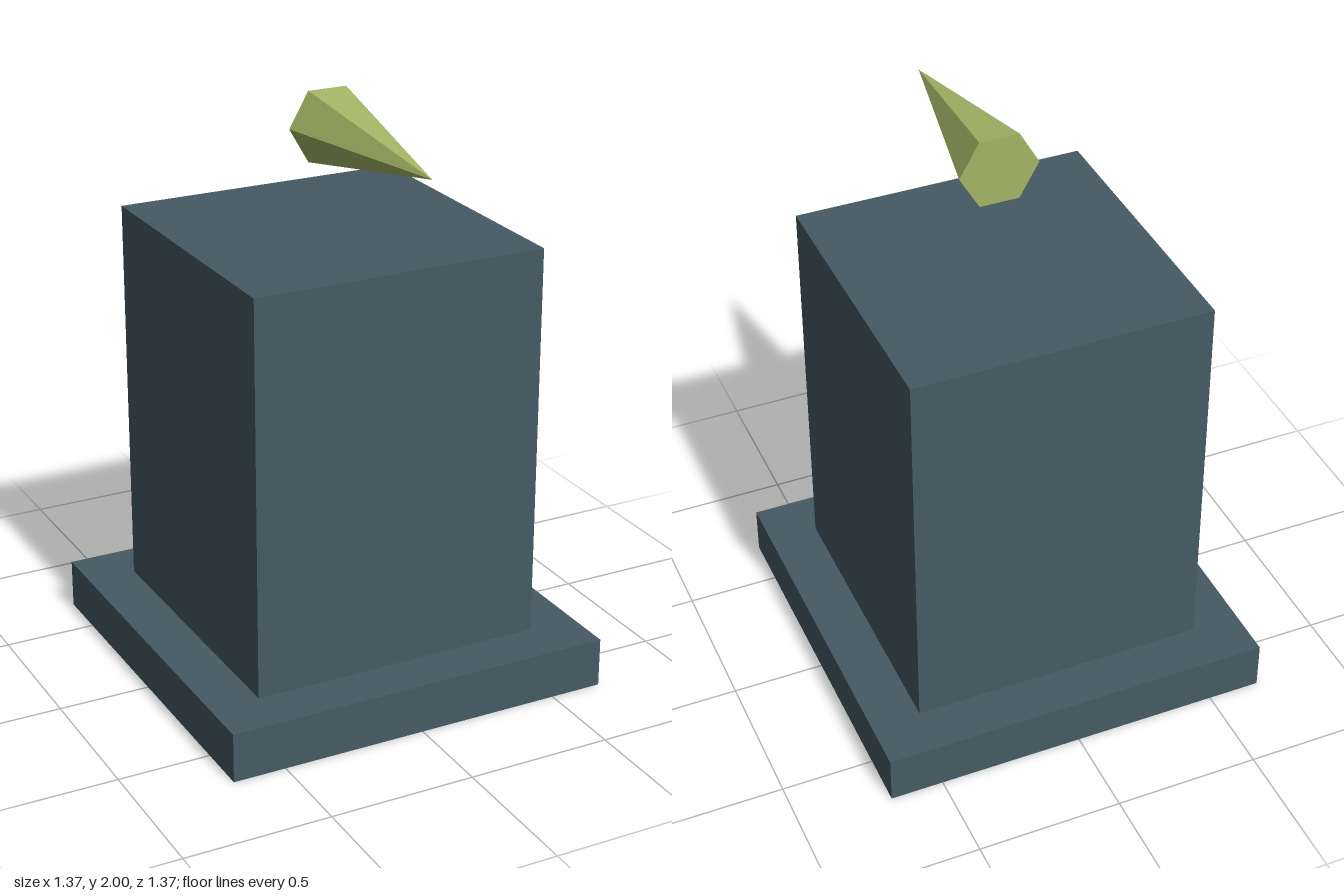
import * as THREE from 'three';

export function createModel() {
  const model = new THREE.Group();
  const slate = new THREE.MeshStandardMaterial({ color: 0x455a64, flatShading: true });
  const olive = new THREE.MeshStandardMaterial({ color: 0xa3b565, flatShading: true });

  function add(name, geometry, material, y, z = 0) {
    const mesh = new THREE.Mesh(geometry, material);
    mesh.name = name;
    mesh.position.set(0, y, z);
    model.add(mesh);
  }

  // Square plinth and the block standing on it
  const baseHeight = 0.171, bodyHeight = 1.365;
  add('base', new THREE.BoxGeometry(1.365, baseHeight, 1.365), slate, baseHeight / 2);
  add('body', new THREE.BoxGeometry(1.024, bodyHeight, 1.024), slate, baseHeight + bodyHeight / 2);

  // Six-sided pointer floating above, tip towards the front, corners at left and right
  const radius = 0.1365, length = 0.6825;
  const pointer = new THREE.ConeGeometry(radius, length, 6, 1, false, Math.PI / 6);
  pointer.rotateX(Math.PI / 2);
  add('pointer', pointer, olive, 2 - radius * Math.cos(Math.PI / 6), length / 2);

  return model;
}
